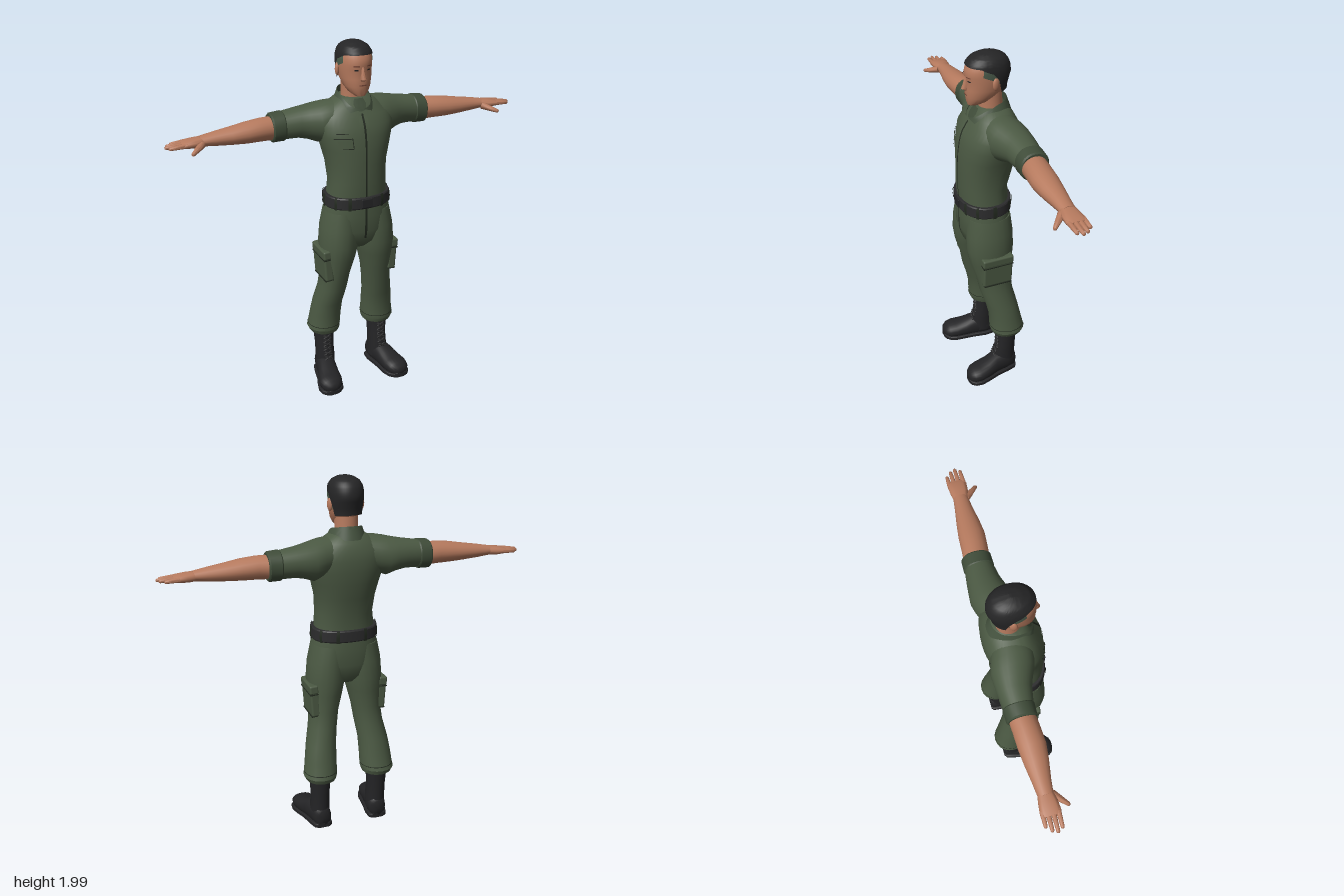
import * as THREE from 'three';
import { toCreasedNormals } from 'three/addons/utils/BufferGeometryUtils.js';
import { RoundedBoxGeometry } from 'three/addons/geometries/RoundedBoxGeometry.js';

const paint = (name, color, side = THREE.FrontSide) => {
  const m = new THREE.MeshStandardMaterial({ color, side });
  m.name = name;
  return m;
};
const PI = Math.PI;

// signed power for superellipse sections
const sp = (v, n) => Math.sign(v) * Math.pow(Math.abs(v), 2 / n);

// grid of points (row, column) turned into a creased surface
function grid(rows, cols, fn, crease = 0.7) {
  const pos = [], idx = [];
  for (let j = 0; j <= rows; j++) for (let i = 0; i <= cols; i++) pos.push(...fn(j, i));
  for (let j = 0; j < rows; j++) for (let i = 0; i < cols; i++) {
    const a = j * (cols + 1) + i, b = a + cols + 1;
    idx.push(a, b, a + 1, b, b + 1, a + 1);
  }
  const g = new THREE.BufferGeometry();
  g.setAttribute('position', new THREE.Float32BufferAttribute(pos, 3));
  g.setIndex(idx);
  return toCreasedNormals(g, crease);
}

// closed loft through rings [t, centreA, centreB, radiusA, radiusB] along an axis
function loft(axis, rings, n = 2, sides = 28, crease = 0.7) {
  const first = rings[0], last = rings[rings.length - 1];
  const all = [[first[0], first[1], first[2], 0, 0], ...rings, [last[0], last[1], last[2], 0, 0]];
  return grid(all.length - 1, sides, (j, i) => {
    const [t, a, b, ra, rb] = all[j], q = (i % sides) / sides * 2 * PI;
    const c = sp(Math.cos(q), n), s = sp(Math.sin(q), n);
    if (axis === 'y') return [a + ra * c, t, b + rb * s];
    if (axis === 'x') return [t, a + ra * s, b + rb * c];
    return [a + ra * s, b + rb * c, t];
  }, crease);
}

// linear lookup in a table of rows keyed by the first entry
function look(table, t) {
  let k = 0;
  while (k < table.length - 2 && t > table[k + 1][0]) k++;
  const A = table[k], B = table[k + 1];
  const f = THREE.MathUtils.clamp((t - A[0]) / (B[0] - A[0]), 0, 1);
  return A.map((v, i) => v + (B[i] - v) * f);
}

// thin patch lying on an upright loft; low and high may depend on sin(angle), front = 1
function patch(table, n, q0, q1, low, high, off = 0.003, cols = 12, rows = 12) {
  const at = (v, s) => (typeof v === 'function' ? v(s) : v);
  return grid(rows, cols, (j, i) => {
    const q = q0 + (q1 - q0) * i / cols, s = Math.sin(q), k = 1 - (1 - j / rows) ** 2;
    const y = at(low, s) + (at(high, s) - at(low, s)) * k;
    const [, cx, cz, rx, rz] = look(table, y);
    return [cx + (rx + off) * sp(Math.cos(q), n), y, cz + (rz + off) * sp(s, n)];
  });
}

// tapered rod with a rounded tip between two points
function rod(a, b, r0, r1) {
  const A = new THREE.Vector3(...a), d = new THREE.Vector3(...b).sub(A), L = d.length();
  const g = loft('y', [[0, 0, 0, r0, r0], [L * 0.5, 0, 0, (r0 + r1) / 2, (r0 + r1) / 2],
    [L - r1 * 0.7, 0, 0, r1, r1], [L, 0, 0, r1 * 0.5, r1 * 0.5]], 2, 10, 1);
  g.applyQuaternion(new THREE.Quaternion().setFromUnitVectors(new THREE.Vector3(0, 1, 0), d.normalize()));
  return g.translate(A.x, A.y, A.z);
}

// mirror across x with corner order restored
function mirrored(geo) {
  const g = (geo.index ? geo.toNonIndexed() : geo.clone()).scale(-1, 1, 1);
  for (const key of ['position', 'normal']) {
    const p = g.attributes[key];
    for (let i = 0; i < p.count; i += 3) {
      const b = [p.getX(i + 1), p.getY(i + 1), p.getZ(i + 1)];
      p.setXYZ(i + 1, p.getX(i + 2), p.getY(i + 2), p.getZ(i + 2));
      p.setXYZ(i + 2, ...b);
    }
  }
  return g;
}

export function createModel() {
  const root = new THREE.Group();
  root.name = 'figure';
  const cloth = paint('green cloth', 0x4b5943);
  const collarCloth = paint('collar cloth', 0x465440, THREE.DoubleSide);
  const cuffCloth = paint('dark green cloth', 0x3f4c39);
  const seam = paint('seam', 0x232a20, THREE.DoubleSide);
  const skin = paint('skin', 0xb67a5e);
  const lip = paint('dark skin', 0x7a4a3a, THREE.DoubleSide);
  const hairMat = paint('hair', 0x252526, THREE.DoubleSide);
  const stubble = paint('cropped hair', 0x4a5a4a, THREE.DoubleSide);
  const leather = paint('boot leather', 0x242426);
  const beltMat = paint('belt', 0x2b2b2c);

  const add = (name, geo, mat) => {
    const m = new THREE.Mesh(geo, mat);
    m.name = name;
    root.add(m);
    return m;
  };
  const pair = (name, geo, mat) => {
    add('left ' + name, geo, mat);
    add('right ' + name, mirrored(geo), mat);
  };

  // head and neck
  const head = [[1.712, 0, 0.05, 0.028, 0.033], [1.73, 0, 0.028, 0.05, 0.06], [1.76, 0, 0.008, 0.068, 0.085],
    [1.8, 0, -0.012, 0.079, 0.106], [1.85, 0, -0.02, 0.085, 0.111], [1.872, 0, -0.02, 0.086, 0.118],
    [1.9, 0, -0.021, 0.086, 0.115], [1.93, 0, -0.022, 0.08, 0.105], [1.955, 0, -0.024, 0.065, 0.083], [1.972, 0, -0.025, 0.036, 0.046]];
  add('head', loft('y', head, 2.15, 36, 1), skin);
  add('neck', loft('y', [[1.6, 0, -0.04, 0.07, 0.07], [1.68, 0, -0.04, 0.062, 0.064], [1.78, 0, -0.035, 0.062, 0.064]]), skin);
  add('nose', loft('y', [[1.793, 0, 0.088, 0.012, 0.012], [1.803, 0, 0.092, 0.017, 0.024], [1.83, 0, 0.088, 0.01, 0.019],
    [1.868, 0, 0.086, 0.007, 0.012]], 2, 12, 1), skin);
  add('mouth', patch(head, 2.15, PI / 2 - 0.24, PI / 2 + 0.24, 1.768, 1.774), lip);
  pair('eyebrow', patch(head, 2.15, 1.02, 1.36, 1.868, 1.874), lip);
  pair('eye', patch(head, 2.15, 1.08, 1.32, 1.846, 1.853), hairMat);
  pair('ear', new THREE.SphereGeometry(1, 14, 10).scale(0.012, 0.034, 0.02).rotateY(0.3).translate(0.088, 1.838, -0.035), skin);

  // hair with a hairline that drops towards the nape
  const hair = [...head.slice(3).map(([y, x, z, a, b]) => [y + 0.004, x, z, a + 0.006, b + 0.006]), [1.986, 0, -0.025, 0, 0]];
  const edge = [[-1, 1.79], [-0.5, 1.785], [-0.3, 1.85], [0, 1.895], [0.5, 1.922], [1, 1.925]];
  const hairline = s => look(edge, s)[1];
  add('hair', patch(hair, 2.15, 0, 2 * PI, hairline, 1.986, 0, 48, 20), hairMat);
  pair('cropped temple', patch(head, 2.15, -0.33, 0.4, s => hairline(s) - 0.035, s => hairline(s) + 0.01), stubble);

  // shirt body and its details
  const torso = [[1.14, 0, 0.005, 0.168, 0.128], [1.25, 0, 0.01, 0.158, 0.13], [1.35, 0, -0.005, 0.165, 0.143], [1.43, 0, -0.013, 0.185, 0.15],
    [1.5, 0, -0.024, 0.205, 0.152], [1.56, 0, -0.031, 0.215, 0.145], [1.61, 0, -0.043, 0.2, 0.127], [1.65, 0, -0.045, 0.15, 0.106], [1.695, 0, -0.045, 0.085, 0.075]];
  add('shirt', loft('y', torso, 2.3, 40, 1), cloth);
  add('front placket', patch(torso, 2.3, PI / 2 - 0.09, PI / 2 + 0.09, 1.17, 1.62, 0.003), cloth);
  add('placket seam', patch(torso, 2.3, PI / 2 - 0.015, PI / 2 + 0.015, 1.17, 1.62, 0.005), seam);
  add('undershirt', patch(torso, 2.3, PI / 2 - 0.22, PI / 2 + 0.22, s => 1.63 + (1 - s) * 1.5, 1.69, 0.004), cuffCloth);
  add('chest pocket', patch(torso, 2.3, 1.87, 2.3, 1.45, 1.51, 0.005), cloth);
  add('pocket flap seam', patch(torso, 2.3, 1.87, 2.4, 1.503, 1.508, 0.007), seam);
  add('pocket side seam', patch(torso, 2.3, 1.86, 1.88, 1.455, 1.505, 0.007), seam);
  add('pocket lower seam', patch(torso, 2.3, 1.87, 2.2, 1.45, 1.454, 0.007), seam);
  add('chest tape', patch(torso, 2.3, 1.95, 2.3, 1.53, 1.534, 0.007), seam);

  // folded collar, open at the throat with two points
  const collar = [[1.6, 0, -0.031, 0.13, 0.12], [1.66, 0, -0.034, 0.102, 0.112], [1.735, 0, -0.048, 0.072, 0.073]];
  const low = [[-1, 1.665], [0, 1.665], [0.45, 1.64], [0.72, 1.612], [1, 1.64]];
  const high = [[-1, 1.735], [0, 1.72], [0.6, 1.69], [1, 1.645]];
  add('collar', patch(collar, 2, PI / 2 + 0.12, PI * 2.5 - 0.12, s => look(low, s)[1], s => look(high, s)[1], 0.003, 48, 6), collarCloth);

  // sleeves, arms and hands
  pair('sleeve', loft('x', [[0.06, 1.59, -0.05, 0.09, 0.09], [0.15, 1.573, -0.058, 0.1, 0.112], [0.2, 1.56, -0.07, 0.105, 0.11],
    [0.25, 1.564, -0.08, 0.09, 0.097], [0.3, 1.565, -0.087, 0.08, 0.086], [0.39, 1.558, -0.09, 0.073, 0.073]], 2.1, 28, 1), cloth);
  pair('sleeve cuff', loft('x', [[0.375, 1.557, -0.09, 0.074, 0.074], [0.382, 1.557, -0.09, 0.079, 0.079],
    [0.44, 1.554, -0.09, 0.077, 0.077], [0.447, 1.554, -0.09, 0.07, 0.07]], 2.2, 24, 0.5), cuffCloth);
  pair('arm', loft('x', [[0.43, 1.552, -0.088, 0.062, 0.067], [0.5, 1.553, -0.083, 0.06, 0.068], [0.58, 1.549, -0.079, 0.055, 0.069],
    [0.66, 1.544, -0.079, 0.046, 0.06], [0.75, 1.54, -0.08, 0.036, 0.046], [0.82, 1.537, -0.08, 0.026, 0.038]], 2, 20, 1), skin);
  pair('palm', loft('x', [[0.8, 1.537, -0.08, 0.024, 0.036], [0.85, 1.534, -0.078, 0.024, 0.047], [0.9, 1.533, -0.079, 0.018, 0.051],
    [0.918, 1.532, -0.08, 0.012, 0.048]], 2.5, 20, 1), skin);
  [0.985, 1, 0.99, 0.965].forEach((tip, i) => {
    const z = -0.042 - i * 0.025;
    pair('finger', rod([0.89, 1.534, z], [tip, 1.528, z - 0.002], 0.0135, 0.0095), skin);
  });
  pair('thumb', rod([0.815, 1.528, -0.05], [0.885, 1.503, 0.02], 0.02, 0.01), skin);

  // trousers
  const hips = [[0.86, 0, 0.0, 0.05, 0.08], [0.9, 0, 0.003, 0.13, 0.115], [0.97, 0, 0.004, 0.197, 0.131],
    [1.06, 0, 0.004, 0.188, 0.134], [1.14, 0, 0.005, 0.172, 0.131]];
  add('trouser seat', loft('y', hips, 2.3, 36, 1), cloth);
  add('fly seam', patch(hips, 2.3, PI / 2 - 0.02, PI / 2 + 0.02, 0.93, 1.11, 0.004), seam);
  const leg = [[0.3, 0.168, -0.08, 0.084, 0.09], [0.325, 0.17, -0.08, 0.094, 0.1], [0.345, 0.168, -0.077, 0.092, 0.097], [0.42, 0.162, -0.067, 0.089, 0.09],
    [0.5, 0.155, -0.05, 0.084, 0.09], [0.6, 0.137, -0.023, 0.08, 0.094], [0.7, 0.124, -0.01, 0.081, 0.1], [0.8, 0.114, 0, 0.095, 0.121],
    [0.88, 0.108, 0.003, 0.106, 0.131], [0.98, 0.1, 0.003, 0.106, 0.129], [1.08, 0.085, 0.003, 0.1, 0.12]];
  pair('trouser leg', loft('y', leg, 2.1, 20, 0.45), cloth);
  pair('hem seam', patch(leg, 2.1, 0, 2 * PI, 0.345, 0.349, 0.001, 28, 2), seam);
  // cargo pockets on the outer thighs
  pair('cargo pocket', new RoundedBoxGeometry(0.05, 0.165, 0.17, 2, 0.012).rotateZ(-0.07).translate(0.194, 0.762, -0.005), cloth);
  pair('cargo flap', new RoundedBoxGeometry(0.05, 0.05, 0.178, 2, 0.01).rotateZ(-0.07).translate(0.201, 0.84, -0.004), cloth);
  pair('cargo flap seam', new THREE.BoxGeometry(0.049, 0.006, 0.176).rotateZ(-0.07).translate(0.2, 0.813, -0.004), seam);
  pair('cargo lower seam', new THREE.BoxGeometry(0.05, 0.006, 0.16).rotateZ(-0.07).translate(0.19, 0.682, -0.005), seam);

  // belt with buckle and loops
  const band = [[1.11, 0, 0.005, 0.182, 0.14], [1.116, 0, 0.005, 0.186, 0.144], [1.169, 0, 0.005, 0.183, 0.143], [1.175, 0, 0.005, 0.179, 0.139]];
  add('belt', loft('y', band, 2.3, 40, 0.5), beltMat);
  add('buckle', new RoundedBoxGeometry(0.06, 0.05, 0.012, 2, 0.004).translate(0, 1.143, 0.15), leather);
  for (const q of [1.1, 0.6, 0, -0.6, -1.2]) {
    pair('belt loop', patch(band, 2.3, q - 0.05, q + 0.05, 1.108, 1.178, 0.005, 4, 4), seam);
  }

  // boots
  const foot = [[-0.132, 0.166, 0.06, 0.03, 0.045], [-0.12, 0.167, 0.065, 0.047, 0.06], [-0.07, 0.172, 0.068, 0.056, 0.066], [0, 0.185, 0.066, 0.057, 0.065],
    [0.05, 0.197, 0.055, 0.063, 0.052], [0.11, 0.208, 0.05, 0.069, 0.043], [0.15, 0.212, 0.046, 0.06, 0.038], [0.172, 0.214, 0.042, 0.04, 0.026], [0.18, 0.215, 0.038, 0.018, 0.012]];
  pair('boot foot', loft('z', foot, 2.3, 24, 1), leather);
  pair('boot sole', loft('z', foot.map(([z, x, , r]) => [z, x, 0.0135, r + 0.006, 0.0135]), 6, 24, 0.5), leather);
  pair('boot shaft', loft('y', [[0.05, 0.17, -0.063, 0.054, 0.066], [0.12, 0.17, -0.062, 0.054, 0.067], [0.2, 0.17, -0.073, 0.053, 0.058],
    [0.31, 0.171, -0.078, 0.062, 0.057]], 2.1, 24, 1), leather);
  for (let i = 0; i < 6; i++) {
    const y = 0.125 + i * 0.026, z = i < 3 ? 0.006 - i * 0.01 : -0.017;
    pair('lace', rod([0.15, y, z], [0.196, y + 0.02, z - 0.003], 0.005, 0.005), beltMat);
    pair('lace', rod([0.196, y, z], [0.15, y + 0.02, z - 0.003], 0.005, 0.005), beltMat);
  }
  return root;
}
